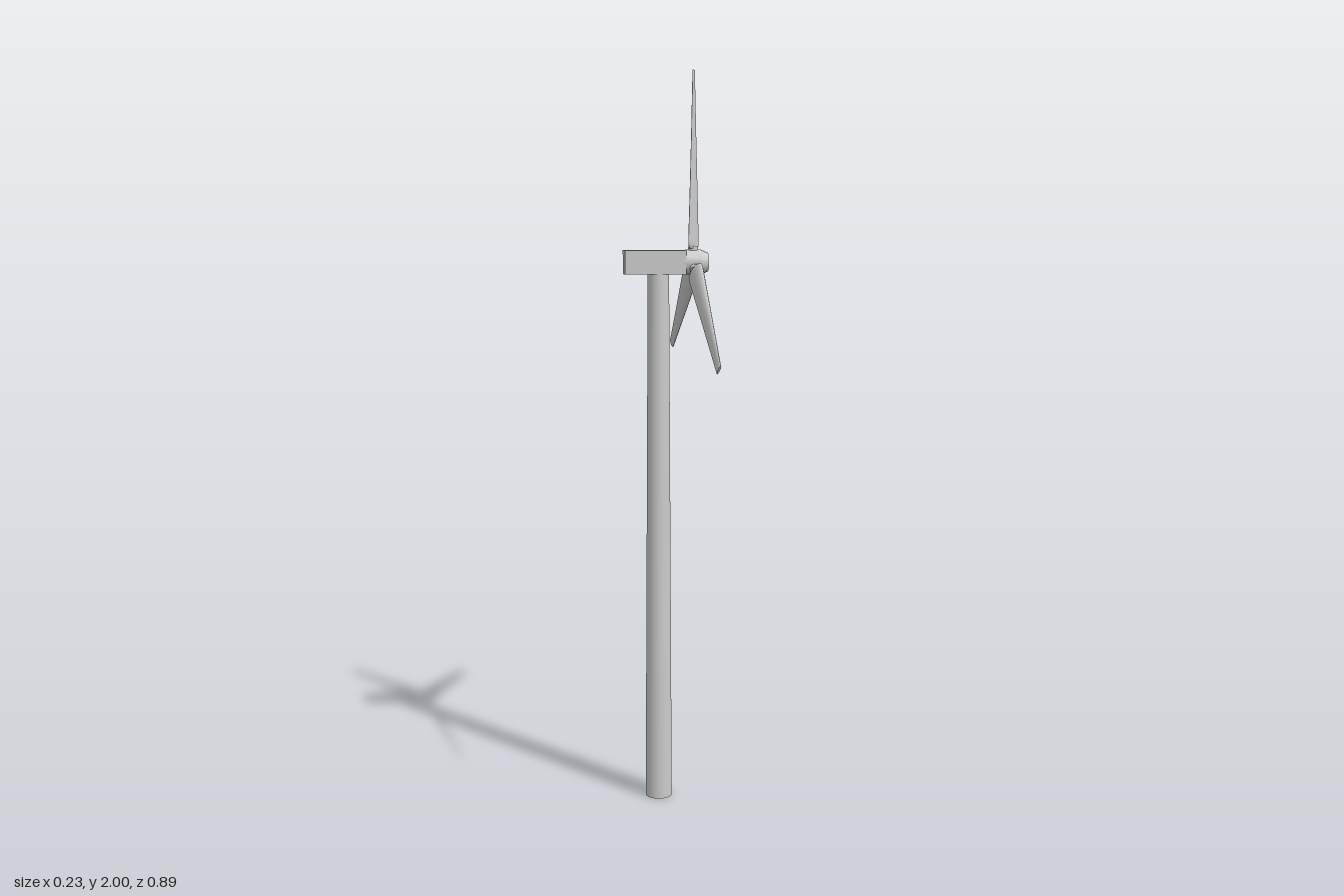
import * as THREE from 'three';

const material = new THREE.MeshStandardMaterial({ color: 0xcccccc });

function addPart(parent, name, geometry, x = 0, y = 0, z = 0) {
  const mesh = new THREE.Mesh(geometry, material);
  mesh.name = name;
  mesh.position.set(x, y, z);
  parent.add(mesh);
  return mesh;
}

// Blade: a cylinder whose rings become twisted teardrop sections.
// Stations: [distance from hub axis, chord, thickness, twist in degrees]
const stations = [
  [0.036, 0.034, 0.018, 34],
  [0.046, 0.056, 0.017, 33],
  [0.06, 0.059, 0.016, 32],
  [0.2, 0.049, 0.013, 28],
  [0.35, 0.038, 0.009, 23],
  [0.505, 0.026, 0.005, 17],
];

function bladeGeometry() {
  const last = stations.length - 1;
  const geometry = new THREE.CylinderGeometry(1, 1, 1, 16, last);
  const p = geometry.attributes.position;
  for (let i = 0; i < p.count; i++) {
    const [r, chord, thickness, twist] = stations[Math.round((p.getY(i) + 0.5) * last)];
    const a = THREE.MathUtils.degToRad(twist);
    const c = p.getZ(i) * chord / 2;
    const t = p.getX(i) * (1 - 0.4 * p.getZ(i)) * thickness / 2;
    p.setXYZ(i, t * Math.cos(a) - c * Math.sin(a), r, t * Math.sin(a) + c * Math.cos(a));
  }
  geometry.computeVertexNormals();
  return geometry;
}

export function createModel() {
  const model = new THREE.Group();
  model.name = 'windTurbine';
  const towerX = -0.022, hubY = 1.495, z0 = -0.002;

  // Tapered tower with a small door block at its foot
  addPart(model, 'tower', new THREE.CylinderGeometry(0.029, 0.037, 1.47, 24), towerX, 0.735, z0);
  addPart(model, 'door', new THREE.BoxGeometry(0.024, 0.043, 0.02), towerX, 0.0215, -0.033);

  // Nacelle
  addPart(model, 'nacelle', new THREE.BoxGeometry(0.165, 0.064, 0.064), -0.0325, hubY, z0);

  // Rotor turning about the x axis
  const rotor = new THREE.Group();
  rotor.name = 'rotor';
  rotor.position.set(0.072, hubY, z0);
  model.add(rotor);

  // Hub: separate bands keep the chamfer edges sharp
  const hubProfile = [[0, -0.032], [0.033, -0.032], [0.034, 0.02], [0.025, 0.04], [0, 0.04]];
  for (let i = 0; i < hubProfile.length - 1; i++) {
    const band = [hubProfile[i], hubProfile[i + 1]].map(([r, h]) => new THREE.Vector2(r, h));
    addPart(rotor, 'hub', new THREE.LatheGeometry(band, 16)).rotation.z = -Math.PI / 2;
  }

  // Three blades with round root collars
  const blade = bladeGeometry();
  const collar = new THREE.CylinderGeometry(0.013, 0.013, 0.03, 16);
  for (let i = 0; i < 3; i++) {
    const arm = new THREE.Group();
    arm.name = 'bladeArm';
    arm.rotation.x = i * Math.PI * 2 / 3;
    addPart(arm, 'bladeRoot', collar, 0, 0.028, 0);
    addPart(arm, 'blade', blade);
    rotor.add(arm);
  }
  return model;
}
